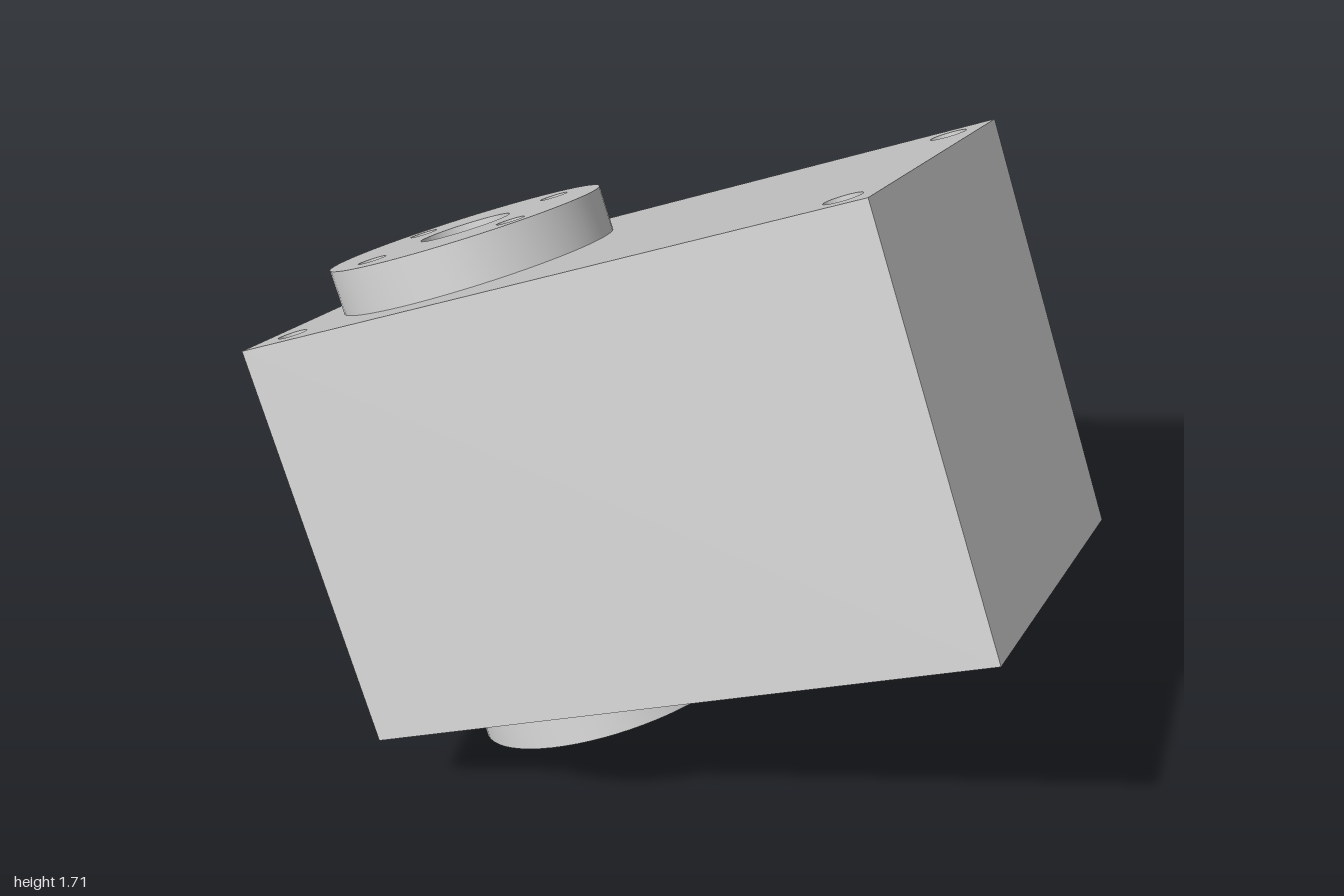
import * as THREE from 'three';
import { toCreasedNormals } from 'three/addons/utils/BufferGeometryUtils.js';

const LENGTH = 1.542, WIDTH = 0.837, HEIGHT = 0.959;
const TURN = 0.568, TILT = Math.PI / 6;   // heading about the bore axis, then lean
const BORE_X = -0.378;                    // bore position along the body
const FLANGE_R = 0.325, FLANGE_H = 0.104;
const WIDE_BORE = 0.141, NARROW_BORE = 0.107;

const material = new THREE.MeshStandardMaterial({ color: 0xcccccc });

function addHole(shape, x, y, r) {
  const hole = new THREE.Path();
  hole.absarc(x, y, r, 0, Math.PI * 2, true);
  shape.holes.push(hole);
}

// Four bolt holes around the bore
function addBoltCircle(shape, cx) {
  for (let i = 0; i < 4; i++) {
    const a = -TURN + i * Math.PI / 2;
    addHole(shape, cx + 0.2425 * Math.cos(a), 0.2425 * Math.sin(a), 0.033);
  }
}

// Extrude a plan outline upwards from height y
function plate(name, shape, height, y) {
  const raw = new THREE.ExtrudeGeometry(shape, { depth: height, bevelEnabled: false, curveSegments: 32 });
  raw.rotateX(-Math.PI / 2);
  const mesh = new THREE.Mesh(toCreasedNormals(raw, 0.5), material);
  mesh.name = name;
  mesh.position.y = y;
  return mesh;
}

function flange(name, bore, y) {
  const disc = new THREE.Shape();
  disc.absarc(0, 0, FLANGE_R, 0, Math.PI * 2, false);
  addHole(disc, 0, 0, bore);
  addBoltCircle(disc, 0);
  const mesh = plate(name, disc, FLANGE_H, y);
  mesh.position.x = BORE_X;
  return mesh;
}

export function createModel() {
  const group = new THREE.Group();
  group.name = 'flangedHousing';

  // Rectangular housing with bore, bolt holes and corner mounting holes
  const w = LENGTH / 2, d = WIDTH / 2;
  const outline = new THREE.Shape([
    new THREE.Vector2(-w, -d), new THREE.Vector2(w, -d),
    new THREE.Vector2(w, d), new THREE.Vector2(-w, d),
  ]);
  addHole(outline, BORE_X, 0, WIDE_BORE);
  addBoltCircle(outline, BORE_X);
  for (const side of [-1, 1]) {
    addHole(outline, -0.687, side * 0.335, 0.034);
    addHole(outline, 0.687, side * 0.335, 0.041);
  }
  const housing = new THREE.Group();
  housing.name = 'housing';
  housing.add(plate('body', outline, HEIGHT, -HEIGHT / 2));

  // Round flanges on both faces; the upper one has the narrower bore
  housing.add(flange('upperFlange', NARROW_BORE, HEIGHT / 2));
  housing.add(flange('lowerFlange', WIDE_BORE, -HEIGHT / 2 - FLANGE_H));

  housing.rotation.set(0, TURN, TILT, 'ZYX');
  housing.position.y = 0.855;
  group.add(housing);
  return group;
}
